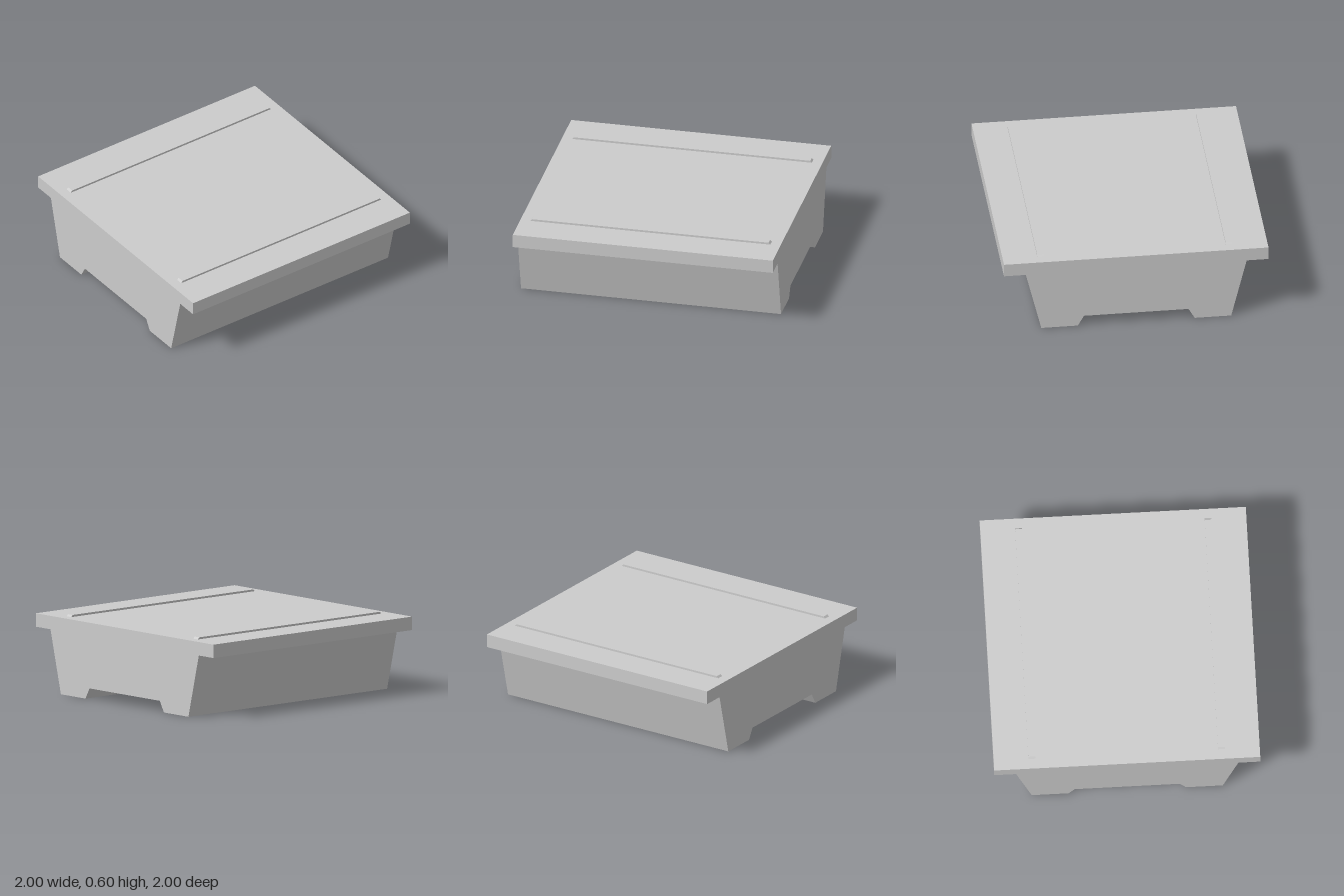
import * as THREE from 'three';

const material = new THREE.MeshStandardMaterial({ color: 0xcccccc, flatShading: true });

// Closed outline extruded along z and centred on z = 0
function extrudeCentred(points, depth) {
  const shape = new THREE.Shape(points.map(([x, y]) => new THREE.Vector2(x, y)));
  const geometry = new THREE.ExtrudeGeometry(shape, { depth, bevelEnabled: false });
  return geometry.translate(0, 0, -depth / 2);
}

export function createModel() {
  const model = new THREE.Group();
  model.name = 'slab';

  // Slab with overhanging flanges, tapered sides and a channel underneath
  const half = [[0.395, 0.083], [0.442, 0], [0.718, 0], [0.835, 0.48], [1, 0.48], [1, 0.582]];
  const mirrored = half.map(([x, y]) => [-x, y]).reverse();
  const body = new THREE.Mesh(extrudeCentred([...half, ...mirrored], 2), material);
  body.name = 'body';
  model.add(body);

  // Thin raised strips with sloped ends, one along each side of the top
  const stripProfile = [[-0.922, 0.582], [0.922, 0.582], [0.91, 0.597], [-0.91, 0.597]];
  const stripGeometry = extrudeCentred(stripProfile, 0.052).rotateY(-Math.PI / 2);
  for (const side of [-1, 1]) {
    const strip = new THREE.Mesh(stripGeometry, material);
    strip.name = side > 0 ? 'leftStrip' : 'rightStrip';
    strip.position.x = side * 0.7125;
    model.add(strip);
  }

  return model;
}
